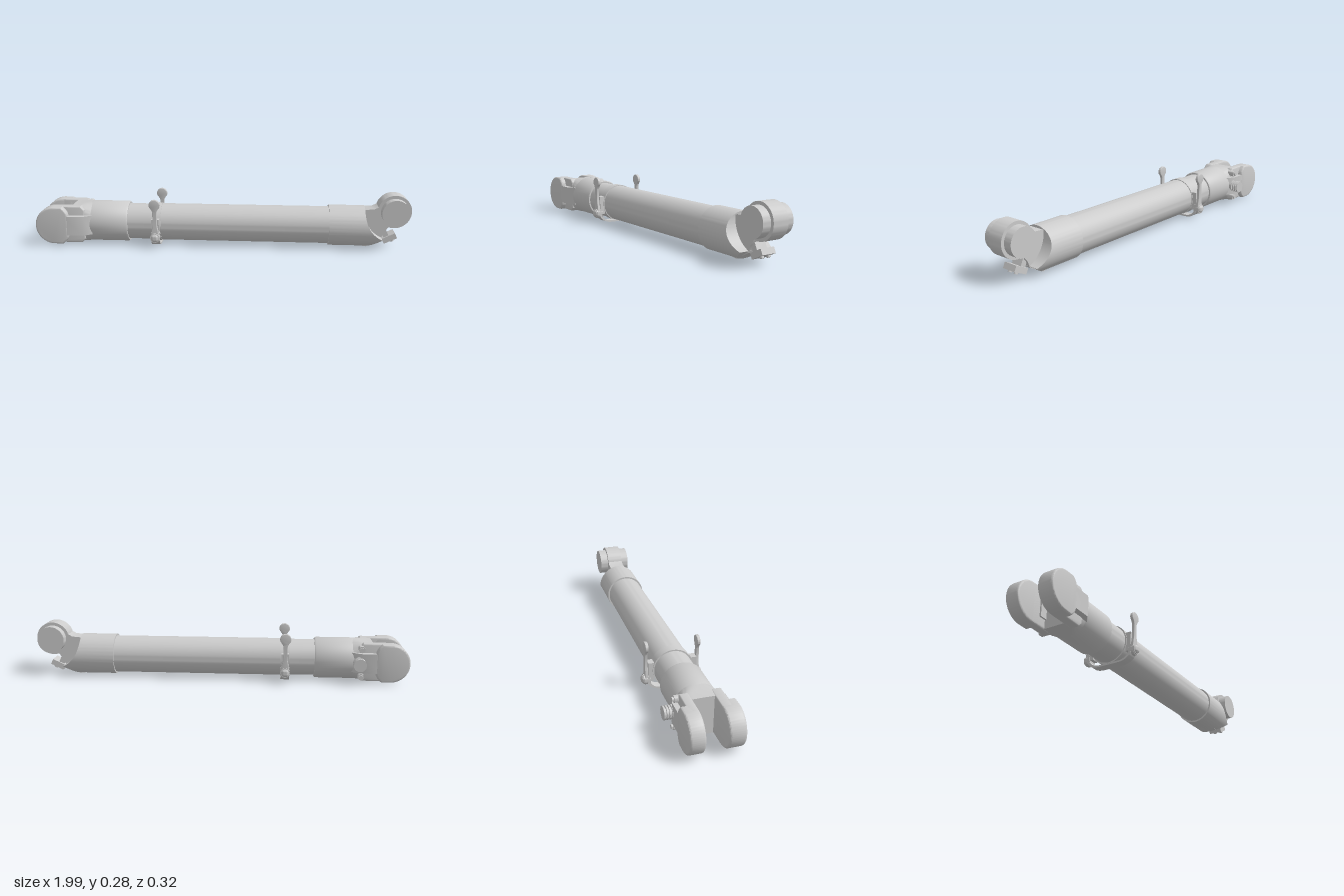
import * as THREE from 'three';
import { toCreasedNormals } from 'three/addons/utils/BufferGeometryUtils.js';

const mat = new THREE.MeshStandardMaterial({ color: 0xcccccc, side: THREE.DoubleSide });
const AXIS = 0.112; // height of the tube axis
const V = (x, y) => new THREE.Vector2(x, y);

export function createModel() {
  const model = new THREE.Group();
  model.name = 'telescopicArm';
  model.position.z = 0.006;

  const add = (name, geo, x = 0, y = 0, z = 0, parent = model) => {
    const m = new THREE.Mesh(toCreasedNormals(geo, 0.6), mat);
    m.name = name;
    m.position.set(x, y, z);
    parent.add(m);
    return m;
  };
  // Solid of revolution along x from [x, radius] pairs
  const turned = (name, pts) =>
    add(name, new THREE.LatheGeometry(pts.map(([x, r]) => V(r, x)), 64).rotateZ(-Math.PI / 2), 0, AXIS);
  // Side profile (x, y) extruded between two depths, with a bevel inside them
  const plate = (name, shape, z0, z1, bevel = 0, parent = model) =>
    add(name, new THREE.ExtrudeGeometry(shape, {
      depth: z1 - z0 - 2 * bevel, bevelEnabled: bevel > 0, bevelSize: bevel, bevelOffset: -bevel,
      bevelThickness: bevel, bevelSegments: 3, curveSegments: 32,
    }), 0, 0, z0 + bevel, parent);
  // Cylinder along z
  const pin = (name, r, len, x, y, z, parent = model, sides = 40) =>
    add(name, new THREE.CylinderGeometry(r, r, len, sides).rotateX(Math.PI / 2), x, y, z, parent);

  // Tubes and left collar
  turned('innerTube', [[-0.6, 0], [-0.6, 0.096], [-0.35, 0.096], [-0.35, 0]]);
  turned('outerTube', [[-0.355, 0], [-0.355, 0.099], [0.6, 0.099], [0.6, 0]]);
  turned('forkCollar', [[-0.72, 0], [-0.72, 0.106], [-0.705, 0.109], [-0.518, 0.109], [-0.51, 0.104], [-0.51, 0]]);

  // Right collar, its end scooped out around the eye and sloped below
  const eye = { x: 0.902, y: 0.2, r: 0.088 };
  const endX = (y) => {
    const scoop = eye.x - Math.sqrt(Math.max(0, 0.155 ** 2 - (y - eye.y) ** 2));
    return Math.min(scoop, 0.76 + 1.5 * (y - 0.004));
  };
  const n = 96, R = 0.108, pos = [], idx = [];
  for (let i = 0; i < n; i++) {
    const a = (i / n) * Math.PI * 2;
    const y = AXIS + R * Math.cos(a), z = R * Math.sin(a);
    pos.push(0.56, y, z, endX(y), y, z, 0.56, AXIS, 0);
    const j = (i + 1) % n;
    idx.push(3 * i, 3 * i + 1, 3 * j + 1, 3 * i, 3 * j + 1, 3 * j, 3 * i + 2, 3 * i, 3 * j);
    // end face, spanning to the mirrored point
    if (i < n / 2) {
      const mi = (n - i) % n, mj = n - i - 1;
      idx.push(3 * i + 1, 3 * mi + 1, 3 * j + 1, 3 * j + 1, 3 * mi + 1, 3 * mj + 1);
    }
  }
  const collar = new THREE.BufferGeometry();
  collar.setAttribute('position', new THREE.Float32BufferAttribute(pos, 3));
  collar.setIndex(idx);
  collar.computeVertexNormals();
  add('eyeCollar', collar);

  // Tongue, eye and pivot boss
  const tongue = new THREE.Shape([
    V(0.68, 0.02), V(0.76, 0.008), V(0.835, 0.048), V(0.85, 0.085), V(0.88, 0.125),
    V(0.89, 0.2), V(0.86, 0.26), V(0.825, 0.228), V(0.795, 0.212), V(0.76, 0.21), V(0.68, 0.19),
  ]);
  plate('tongue', tongue, -0.043, 0.043);
  pin('eye', eye.r, 0.086, eye.x, eye.y, 0, model, 64);
  pin('pivotBoss', 0.072, 0.174, eye.x, eye.y, 0, model, 64);

  // Small locking block under the eye, with two screws
  const lock = new THREE.Group();
  lock.name = 'lockBlock';
  lock.position.set(0.884, 0.053, 0);
  lock.rotation.z = 0.45;
  model.add(lock);
  add('lockPlate', new THREE.BoxGeometry(0.074, 0.03, 0.078), 0, 0, 0, lock);
  add('lockStem', new THREE.BoxGeometry(0.028, 0.06, 0.06), -0.012, 0.03, 0, lock);
  for (const s of [-1, 1])
    add('lockScrew', new THREE.CylinderGeometry(0.01, 0.01, 0.012, 16), 0.008, -0.018, s * 0.02, lock);

  // Fork body: cross-sections from a rounded block to the round collar
  const sections = [[-0.812, 0.098, 0.098, 0.35], [-0.77, 0.1, 0.1, 0.4], [-0.735, 0.106, 0.102, 0.7], [-0.7, 0.107, 0.107, 1]];
  const bp = [], bi = [], k = 64;
  sections.forEach(([x, hy, hz, e], s) => {
    for (let i = 0; i < k; i++) {
      const a = (i / k) * Math.PI * 2, c = Math.cos(a), d = Math.sin(a);
      bp.push(x, AXIS + hy * Math.sign(c) * Math.abs(c) ** e, hz * Math.sign(d) * Math.abs(d) ** e);
      const p = s * k + i, q = s * k + ((i + 1) % k);
      if (s < sections.length - 1) bi.push(p, p + k, q + k, p, q + k, q);
      if (s === 0) bi.push(p, q, sections.length * k);
    }
  });
  bp.push(-0.812, AXIS, 0);
  const body = new THREE.BufferGeometry();
  body.setAttribute('position', new THREE.Float32BufferAttribute(bp, 3));
  body.setIndex(bi);
  body.computeVertexNormals();
  add('forkBody', body);

  // Fork prongs: round cheek, thinner root beside it, and a tapered rib between bolt pockets
  const half = 0.1;
  const cheek = new THREE.Shape();
  cheek.moveTo(-0.855, AXIS + half);
  cheek.lineTo(-0.9, AXIS + half);
  cheek.absarc(-0.9, AXIS, half, Math.PI / 2, Math.PI * 1.5, false);
  cheek.lineTo(-0.855, AXIS - half);
  cheek.quadraticCurveTo(-0.825, AXIS - 0.075, -0.825, AXIS - 0.05);
  cheek.lineTo(-0.825, AXIS + 0.05);
  cheek.quadraticCurveTo(-0.825, AXIS + 0.075, -0.855, AXIS + half);
  const root = new THREE.Shape([
    V(-0.9, AXIS - half), V(-0.76, AXIS - half), V(-0.74, AXIS - 0.08),
    V(-0.74, AXIS + 0.08), V(-0.76, AXIS + half), V(-0.9, AXIS + half),
  ]);
  const rib = new THREE.Shape([V(-0.85, 0.05), V(-0.7, 0.05), V(-0.7, 0.1), V(-0.745, 0.129), V(-0.85, 0.129)]);
  for (const s of [-1, 1]) {
    const [lo, hi] = s > 0 ? [0.05, 0.13] : [-0.126, -0.054];
    plate('forkProng', cheek, lo, hi, 0.009);
    plate('prongRoot', root, s > 0 ? 0.05 : -0.1, s > 0 ? 0.1 : -0.054, 0.008);
    const g = new THREE.ExtrudeGeometry(rib, { depth: 0.104, bevelEnabled: false }).rotateX(Math.PI / 2);
    if (s < 0) g.rotateX(Math.PI);
    add('prongRib', g, 0, AXIS + s * 0.052, s < 0 ? 0.004 : 0);
  }

  // Ribbed stud and bolts on the back of the fork
  pin('studCore', 0.024, 0.08, -0.738, AXIS, -0.125);
  for (let i = 0; i < 4; i++) pin('studRib', 0.033, 0.008, -0.738, AXIS, -0.162 + i * 0.013);
  for (const s of [-1, 1]) {
    pin('bolt', 0.017, 0.05, -0.75, AXIS + s * 0.073, -0.095, model, 24);
    pin('boltHead', 0.012, 0.012, -0.75, AXIS + s * 0.073, -0.123, model, 6);
  }

  // Clamp: ring around the tube, and a strap passing under it
  const clamp = new THREE.Group();
  clamp.name = 'clamp';
  clamp.position.x = -0.355;
  model.add(clamp);
  const ring = (r0, r1, x0, x1) => {
    const pts = [V(r0, x0), V(r1, x0), V(r1, x1), V(r0, x1), V(r0, x0)];
    return new THREE.LatheGeometry(pts, 64).rotateZ(-Math.PI / 2);
  };
  add('clampRing', ring(0.095, 0.103, -0.024, 0.024), 0, AXIS, 0, clamp);
  const strap = new THREE.Shape();
  strap.moveTo(-0.128, 0.085);
  strap.lineTo(-0.128, 0.045);
  strap.quadraticCurveTo(-0.11, 0.004, -0.05, 0.004);
  strap.lineTo(0.05, 0.004);
  strap.quadraticCurveTo(0.11, 0.004, 0.128, 0.045);
  strap.lineTo(0.128, 0.085);
  strap.lineTo(0.116, 0.085);
  strap.lineTo(0.116, 0.05);
  strap.quadraticCurveTo(0.1, 0.013, 0.05, 0.013);
  strap.lineTo(-0.05, 0.013);
  strap.quadraticCurveTo(-0.1, 0.013, -0.116, 0.05);
  strap.lineTo(-0.116, 0.085);
  add('clampStrap', new THREE.ExtrudeGeometry(strap, { depth: 0.046, bevelEnabled: false })
    .translate(0, 0, -0.023).rotateY(Math.PI / 2), 0, 0, 0, clamp);

  // Paddle levers with pivots on both sides
  const lever = new THREE.Shape();
  lever.moveTo(-0.022, 0.06);
  lever.absarc(0, 0.055, 0.024, Math.PI, Math.PI * 2, false);
  lever.quadraticCurveTo(0.02, 0.09, 0.011, 0.13);
  lever.lineTo(0.011, 0.195);
  lever.quadraticCurveTo(0.012, 0.21, 0.024, 0.222);
  lever.absarc(0, 0.237, 0.029, -0.5, Math.PI + 0.5, false);
  lever.quadraticCurveTo(-0.012, 0.21, -0.011, 0.195);
  lever.lineTo(-0.011, 0.13);
  lever.quadraticCurveTo(-0.02, 0.09, -0.022, 0.06);
  for (const s of [-1, 1]) {
    plate('lever', lever, s * 0.133 - 0.008, s * 0.133 + 0.008, 0.003, clamp);
    pin('leverHub', 0.025, 0.034, 0, 0.06, s * 0.13, clamp);
    const cap = new THREE.SphereGeometry(0.021, 24, 8, 0, Math.PI * 2, 0, Math.PI / 2).scale(1, 0.55, 1);
    add('pivotCap', cap.rotateX((s * Math.PI) / 2), 0, 0.06, s * 0.147, clamp);
    add('clampLug', new THREE.BoxGeometry(0.04, 0.1, 0.03), 0, 0.105, s * 0.11, clamp);
  }
  return model;
}
